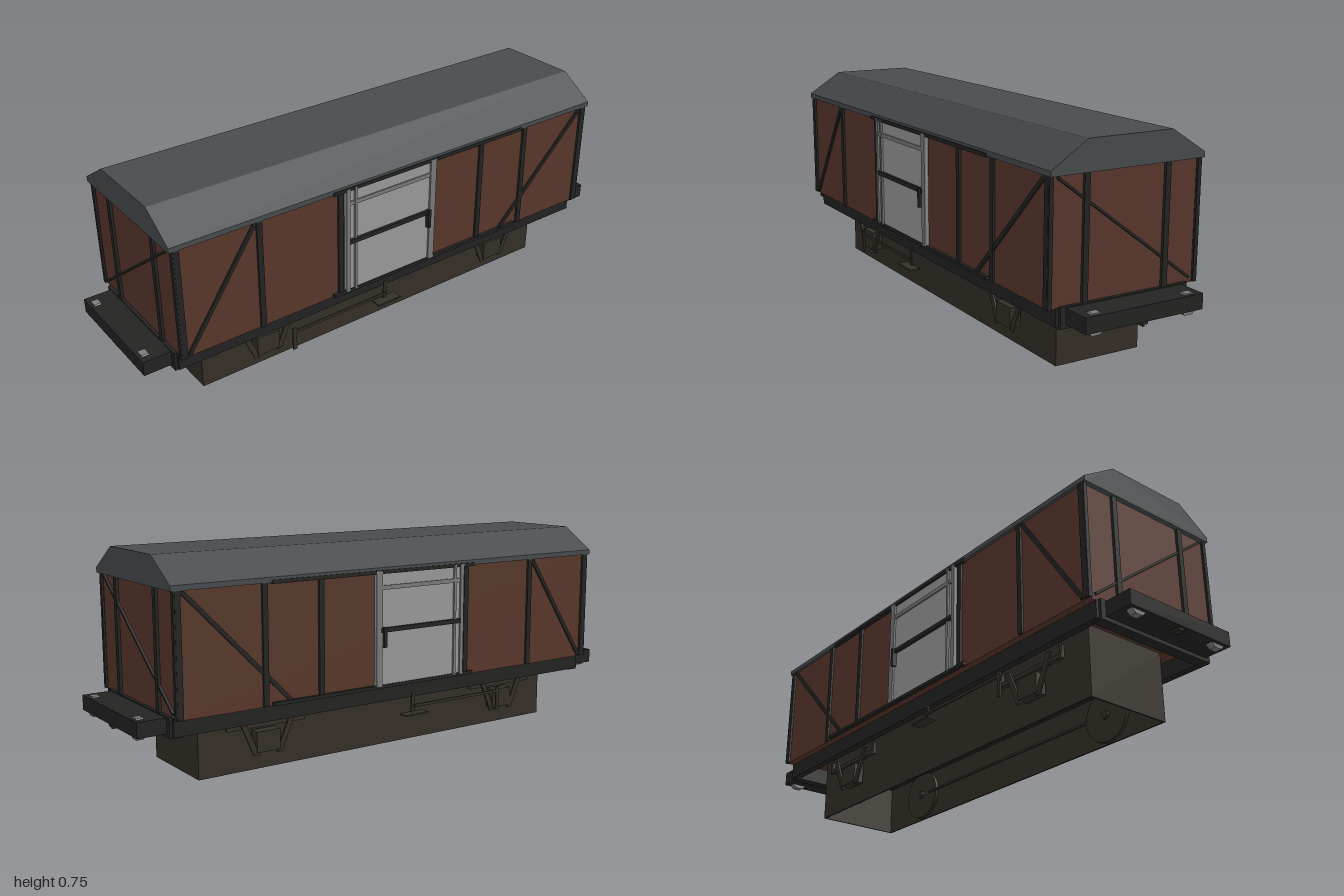
import * as THREE from 'three';

const mat = (color, side = THREE.FrontSide) =>
  new THREE.MeshStandardMaterial({ color, side, flatShading: true });
const BROWN = mat(0x5a382c), DARK = mat(0x242423), ROOF = mat(0x484c4e);
const DOOR = mat(0x9c9c9c), TRIM = mat(0x7c7c7c), UNDER = mat(0x352f27, THREE.DoubleSide);

function add(parent, name, geometry, material, x = 0, y = 0, z = 0) {
  const mesh = new THREE.Mesh(geometry, material);
  mesh.name = name;
  mesh.position.set(x, y, z);
  parent.add(mesh);
  return mesh;
}

// Box given by its lower and upper limits on each axis
function block(parent, name, material, [x0, x1], [y0, y1], [z0, z1]) {
  return add(parent, name, new THREE.BoxGeometry(x1 - x0, y1 - y0, z1 - z0), material,
    (x0 + x1) / 2, (y0 + y1) / 2, (z0 + z1) / 2);
}

// Slanted bar on a side wall, from (z, y) to (z, y)
function sideBrace(parent, za, ya, zb, yb) {
  const bar = add(parent, 'sideBrace',
    new THREE.BoxGeometry(0.008, 0.014, Math.hypot(zb - za, yb - ya)), DARK,
    0.281, (ya + yb) / 2, (za + zb) / 2);
  bar.rotation.x = -Math.atan2(yb - ya, zb - za);
}

// Flat plate drawn in (z, y), with its thickness along x
function sidePlate(parent, name, points, x, thickness) {
  const shape = new THREE.Shape(points.map(([z, y]) => new THREE.Vector2(-z, y)));
  const geo = new THREE.ExtrudeGeometry(shape, { depth: thickness, bevelEnabled: false });
  geo.rotateY(Math.PI / 2);
  return add(parent, name, geo, UNDER, x, 0, 0);
}

// Everything on the +x side; the other side is its mirror image
function buildSide(sign) {
  const side = new THREE.Group();
  side.name = sign > 0 ? 'leftSide' : 'rightSide';

  // Wall posts and braces
  for (const z of [0.88, 0.585, 0.268, -0.36, -0.575, -0.88])
    block(side, 'sidePost', DARK, [0.27, 0.286], [0.245, 0.65], [z - 0.01, z + 0.01]);
  sideBrace(side, 0.865, 0.25, 0.6, 0.645);
  sideBrace(side, -0.475, 0.25, -0.865, 0.645);

  // Sliding door with raised frame, bars and handle
  block(side, 'door', DOOR, [0.27, 0.286], [0.252, 0.65], [-0.14, 0.25]);
  for (const [z0, z1] of [[-0.14, -0.115], [0.205, 0.215], [0.235, 0.25]])
    block(side, 'doorStile', TRIM, [0.28, 0.293], [0.252, 0.655], [z0, z1]);
  block(side, 'doorUpperBar', TRIM, [0.28, 0.291], [0.59, 0.605], [-0.115, 0.235]);
  block(side, 'doorMiddleBar', DARK, [0.28, 0.296], [0.442, 0.458], [-0.12, 0.235]);
  block(side, 'doorHandle', DARK, [0.285, 0.303], [0.39, 0.46], [-0.115, -0.103]);
  block(side, 'doorTopRail', DARK, [0.275, 0.291], [0.645, 0.658], [-0.55, 0.3]);
  block(side, 'doorBottomRail', DARK, [0.25, 0.29], [0.244, 0.256], [-0.55, 0.3]);

  // Sill and running gear
  block(side, 'sideSill', DARK, [0.225, 0.252], [0.185, 0.247], [-0.89, 0.89]);
  block(side, 'undercarriageWall', UNDER, [0.156, 0.162], [0, 0.245], [-0.765, 0.765]);
  for (const c of [-0.525, 0.525]) {
    const wheel = add(side, 'wheel', new THREE.CylinderGeometry(0.095, 0.095, 0.012, 24), UNDER, 0.15, 0.1, c);
    wheel.rotation.z = Math.PI / 2;
    const hub = add(side, 'axleEnd', new THREE.CylinderGeometry(0.014, 0.014, 0.03, 12), UNDER, 0.15, 0.1, c);
    hub.rotation.z = Math.PI / 2;
    for (const s of [-1, 1])
      sidePlate(side, 'axleGuard', [[c + s * 0.11, 0.19], [c + s * 0.055, 0.06],
        [c + s * 0.035, 0.06], [c + s * 0.05, 0.1], [c + s * 0.09, 0.19]], 0.198, 0.007);
    block(side, 'axleBox', UNDER, [0.17, 0.209], [0.07, 0.142], [c - 0.045, c + 0.045]);
    block(side, 'leafSpring', UNDER, [0.181, 0.197], [0.155, 0.17], [c - 0.15, c + 0.15]);
    for (const s of [-1, 1])
      block(side, 'springHanger', UNDER, [0.183, 0.195], [0.155, 0.2], [c + s * 0.145 - 0.006, c + s * 0.145 + 0.006]);
  }
  block(side, 'brakeRod', UNDER, [0.12, 0.128], [0.085, 0.093], [-0.45, 0.45]);

  // Step and brake lever
  block(side, 'stepHanger', UNDER, [0.248, 0.254], [0.122, 0.2], [0.045, 0.057]);
  block(side, 'step', UNDER, [0.243, 0.282], [0.122, 0.128], [0, 0.1]);
  block(side, 'brakeLever', UNDER, [0.259, 0.265], [0.148, 0.158], [0.05, 0.46]);
  block(side, 'leverGrip', UNDER, [0.259, 0.265], [0.08, 0.168], [0.445, 0.46]);

  side.scale.x = sign;
  return side;
}

// Everything at the +z end; x is flipped where a part must not be turned
function buildEnd(sign) {
  const end = new THREE.Group();
  end.name = sign > 0 ? 'frontEnd' : 'backEnd';
  for (const x of [-0.152, 0.152])
    block(end, 'endPost', DARK, [x - 0.01, x + 0.01], [0.247, 0.65], [0.88, 0.898]);
  for (const x of [-0.278, 0.278])
    block(end, 'cornerPost', DARK, [x - 0.007, x + 0.007], [0.245, 0.65], [0.875, 0.896]);
  const brace = add(end, 'endBrace', new THREE.BoxGeometry(Math.hypot(0.51, 0.38), 0.008, 0.008),
    DARK, 0, 0.452, 0.892);
  brace.rotation.z = Math.atan2(0.38, 0.51);

  // Headstock, buffer platform, buffers and coupling
  block(end, 'headstock', DARK, [-0.242, 0.242], [0.18, 0.249], [0.86, 0.9]);
  block(end, 'bufferPlatform', DARK, [-0.222, 0.222], [0.193, 0.245], [0.89, 1]);
  for (const x of [-0.176, 0.176]) {
    const buffer = add(end, 'buffer', new THREE.CylinderGeometry(0.038, 0.038, 0.025, 8), TRIM, x, 0.214, 0.976);
    buffer.rotation.set(Math.PI / 2, Math.PI / 8, 0);
  }
  block(end, 'couplingHook', UNDER, [-0.012, 0.012], [0.182, 0.19], [0.96, 0.995]);
  block(end, 'couplingLink', UNDER, [-0.003, 0.003], [0.174, 0.195], [0.97, 0.99]);
  block(end, 'undercarriageEnd', UNDER, [-0.162, 0.162], [0, 0.245], [0.759, 0.765]);
  end.scale.z = sign;
  return end;
}

export function createModel() {
  const wagon = new THREE.Group();
  wagon.name = 'boxcar';

  // Wooden body
  block(wagon, 'body', BROWN, [-0.278, 0.278], [0.243, 0.65], [-0.888, 0.888]);
  block(wagon, 'undercarriageCeiling', DARK, [-0.156, 0.156], [0.185, 0.19], [-0.759, 0.759]);

  // Three-faceted roof
  const profile = [[-0.288, 0.649], [0.288, 0.649], [0.288, 0.667], [0.157, 0.75], [-0.157, 0.75], [-0.288, 0.667]];
  const roof = new THREE.ExtrudeGeometry(
    new THREE.Shape(profile.map(([x, y]) => new THREE.Vector2(x, y))), { depth: 1.81, bevelEnabled: false });
  add(wagon, 'roof', roof, ROOF, 0, 0, -0.905);

  for (const sign of [1, -1]) wagon.add(buildSide(sign), buildEnd(sign));
  return wagon;
}
